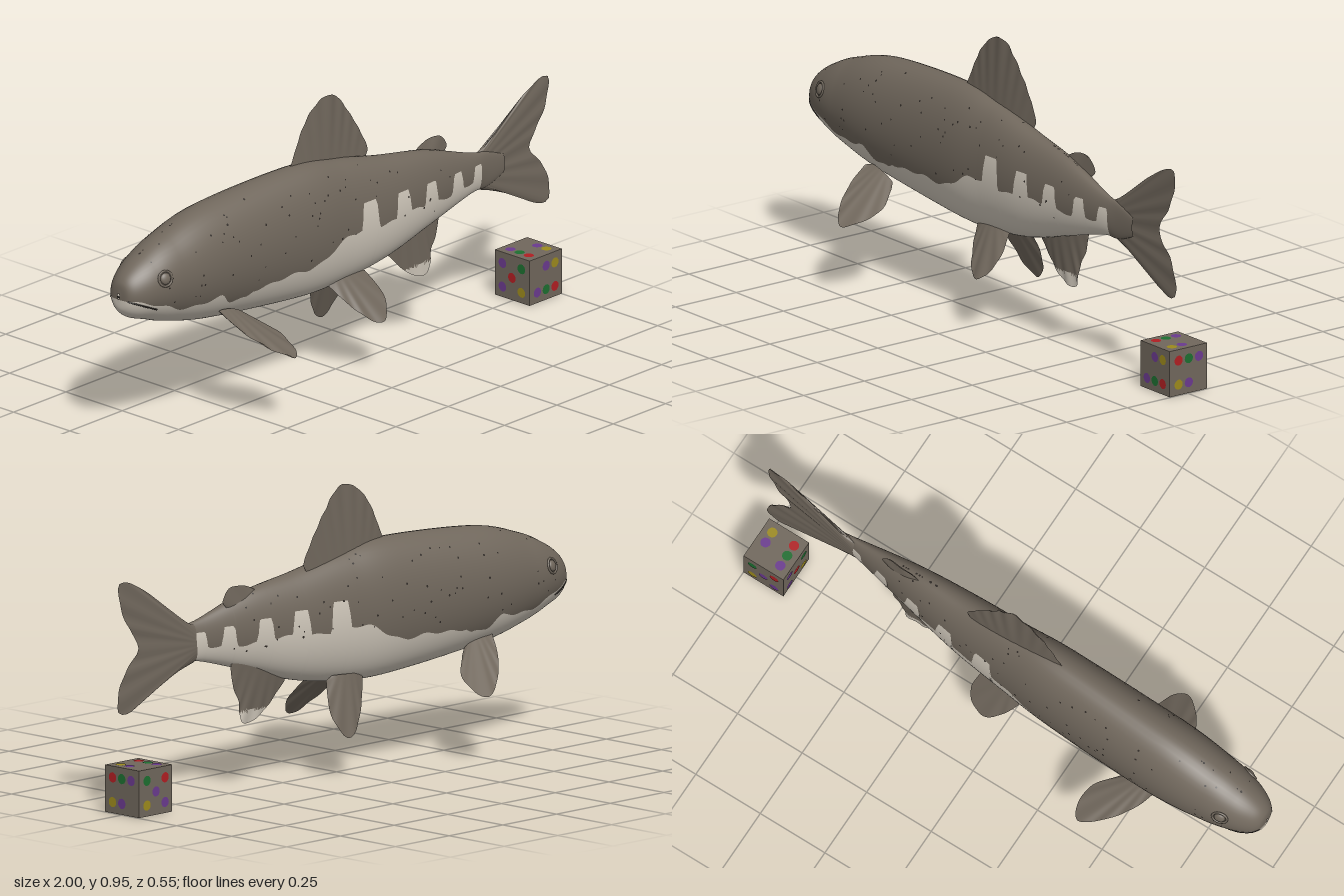
import * as THREE from 'three';
import { mergeGeometries } from 'three/addons/utils/BufferGeometryUtils.js';

const V = (x, y, z) => new THREE.Vector3(x, y, z);
const paint = (name, color) => Object.assign(new THREE.MeshStandardMaterial({ color }), { name });
const spline = pts => new THREE.CatmullRomCurve3(pts, false, 'catmullrom', 0.5);

// Body profile: x, top, bottom, and half width; the spine swings gently toward +z at the tail
const heights = spline([
  V(-1, 0.535, 0.515), V(-0.992, 0.572, 0.472), V(-0.96, 0.606, 0.442), V(-0.9, 0.643, 0.42), V(-0.8, 0.686, 0.386),
  V(-0.6, 0.735, 0.342), V(-0.2, 0.755, 0.3), V(0, 0.73, 0.303), V(0.2, 0.69, 0.332), V(0.4, 0.655, 0.39),
  V(0.6, 0.592, 0.447), V(0.68, 0.575, 0.452), V(0.76, 0.545, 0.48)
]);
const halfWidths = spline([0.004, 0.04, 0.068, 0.092, 0.11, 0.123, 0.113, 0.098, 0.085, 0.06, 0.028, 0.013, 0.004].map(w => V(w, 0, 0)));
const spineZ = x => -0.034 + 0.068 * THREE.MathUtils.smoothstep(x, -0.8, 0.95) + 0.01 * Math.max(0, x);

function bodyPoint(s, t) {
  const h = heights.getPoint(s), w = halfWidths.getPoint(s).x;
  return V(h.x, (h.y + h.z) / 2 + (h.y - h.z) / 2 * Math.sin(t), spineZ(h.x) + w * Math.cos(t));
}
function bodyNormal(s, t) {
  const ds = bodyPoint(Math.min(1, s + 1e-3), t).sub(bodyPoint(Math.max(0, s - 1e-3), t));
  const dt = bodyPoint(s, t + 1e-2).sub(bodyPoint(s, t - 1e-2));
  return ds.cross(dt).normalize();
}
function angleAt(s, y) {
  const h = heights.getPoint(s);
  return Math.asin(THREE.MathUtils.clamp((2 * y - h.y - h.z) / (h.y - h.z), -1, 1));
}
// Point and normal on the skin at a given x and y; side is +1 or -1
function skin(x, y, side) {
  let lo = 0, hi = 1;
  for (let i = 0; i < 30; i++) {
    const m = (lo + hi) / 2;
    if (heights.getPoint(m).x < x) lo = m; else hi = m;
  }
  const t = side > 0 ? angleAt(lo, y) : Math.PI - angleAt(lo, y);
  return { p: bodyPoint(lo, t), n: bodyNormal(lo, t) };
}

// Upper edge of the pale belly: a wavy line with five upright bars toward the tail
function edgeY(x) {
  if (x > 0.64) return 0.3;
  const step = THREE.MathUtils.smoothstep;
  let y = 0.52 - 0.075 * step(x, -1.05, -0.75) - 0.037 * step(x, -0.63, -0.57) + 0.02 * step(x, -0.5, -0.47)
    + 0.065 * step(x, -0.22, -0.02) + 0.009 * Math.sin(38 * x) * Math.sin(17 * x);
  for (const c of [0.07, 0.23, 0.37, 0.51, 0.62]) {
    const half = 0.037 - 0.025 * c;
    y = THREE.MathUtils.lerp(y, 0.592 - 0.07 * c, 1 - step(Math.abs(x - c), half - 0.006, half + 0.008));
  }
  return y;
}

// Triangles of a point grid; flip reverses the facing
function gridTriangles(nu, nv, flip = false, start = 0) {
  const out = [];
  for (let i = 0; i < nu; i++) for (let j = 0; j < nv; j++) {
    const a = start + i * (nv + 1) + j, b = a + nv + 1;
    out.push(...(flip ? [[a, a + 1, b], [b, a + 1, b + 1]] : [[a, b, a + 1], [b, b + 1, a + 1]]));
  }
  return out;
}
function bodyHalf(upper) {
  const nu = 380, nv = 30, pos = [], nor = [];
  for (let i = 0; i <= nu; i++) {
    const s = i / nu, tb = angleAt(s, edgeY(heights.getPoint(s).x));
    const [t0, t1] = upper ? [tb, Math.PI - tb] : [Math.PI - tb, 2 * Math.PI + tb];
    for (let j = 0; j <= nv; j++) {
      const t = t0 + (t1 - t0) * j / nv;
      pos.push(...bodyPoint(s, t).toArray());
      nor.push(...bodyNormal(s, t).toArray());
    }
  }
  const g = new THREE.BufferGeometry();
  g.setAttribute('position', new THREE.Float32BufferAttribute(pos, 3));
  g.setAttribute('normal', new THREE.Float32BufferAttribute(nor, 3));
  return g.setIndex(gridTriangles(nu, nv).flat());
}

// Fin spread from a root line to a margin curve, thick at the root, with soft rays; below tipY it is pale
function finGeometry([r0, r1], margin, thick, rays, tipY = -1) {
  const nu = 64, nv = 12, pos = [];
  const edge = new THREE.CatmullRomCurve3(margin, false, 'centripetal');
  const mid = r0.clone().add(r1).multiplyScalar(0.5);
  const normal = r1.clone().sub(r0).cross(edge.getPointAt(0.5).sub(mid)).normalize();
  for (const side of [1, -1]) for (let i = 0; i <= nu; i++) for (let j = 0; j <= nv; j++) {
    const u = i / nu, v = j / nv, fade = Math.max(0, Math.sin(Math.PI * u));
    const p = r0.clone().lerp(r1, u).lerp(edge.getPointAt(u), v);
    const off = side * (thick * (1 - v) * Math.sqrt(fade) + 0.0012 * fade)
      + 0.0022 * v * fade * Math.sin(u * rays * Math.PI * 2);
    pos.push(...p.addScaledVector(normal, off).toArray());
  }
  const tris = [...gridTriangles(nu, nv), ...gridTriangles(nu, nv, true, (nu + 1) * (nv + 1))];
  const isTip = t => (pos[t[0] * 3 + 1] + pos[t[1] * 3 + 1] + pos[t[2] * 3 + 1]) / 3 < tipY;
  const main = tris.filter(t => !isTip(t)), tip = tris.filter(isTip);
  const g = new THREE.BufferGeometry();
  g.setAttribute('position', new THREE.Float32BufferAttribute(pos, 3));
  g.setIndex([...main, ...tip].flat());
  g.addGroup(0, main.length * 3, 0);
  g.addGroup(main.length * 3, tip.length * 3, 1);
  g.computeVertexNormals();
  return g;
}

export function createModel() {
  const brown = paint('brown skin', 0x70675c), pale = paint('pale belly', 0xcfc7ba), dark = paint('dark spots', 0x2e2925);
  const dotPaints = [paint('red', 0xb01e22), paint('green', 0x1c6e30), paint('purple', 0x6a3a8e), paint('yellow', 0x9c8a1c)];
  brown.side = pale.side = THREE.DoubleSide;
  const model = new THREE.Group(), fish = new THREE.Group(), die = new THREE.Group();
  fish.name = 'fish';
  die.name = 'die';
  model.add(fish, die);
  const add = (parent, name, geometry, material) => {
    const m = new THREE.Mesh(geometry, material);
    m.name = name;
    parent.add(m);
    return m;
  };

  add(fish, 'back', bodyHalf(true), brown);
  add(fish, 'belly', bodyHalf(false), pale);

  // Fins on the centre line
  const addFin = (name, ...shape) => add(fish, name, finGeometry(...shape), [brown, pale]);
  addFin('dorsalFin', [V(-0.19, 0.735, -0.018), V(0.16, 0.68, -0.018)], [V(-0.2, 0.745, -0.019), V(-0.12, 0.89, -0.021),
    V(-0.06, 0.942, -0.019), V(-0.015, 0.953, -0.016), V(0.02, 0.94, -0.018), V(0.075, 0.877, -0.02),
    V(0.14, 0.78, -0.02), V(0.172, 0.71, -0.018), V(0.16, 0.69, -0.018)], 0.01, 9);
  addFin('adiposeFin', [V(0.37, 0.645, 0.006), V(0.5, 0.61, 0.01)], [V(0.37, 0.655, 0.006), V(0.41, 0.673, 0.006),
    V(0.45, 0.68, 0.007), V(0.49, 0.675, 0.008), V(0.52, 0.635, 0.01), V(0.505, 0.615, 0.01)], 0.008, 2);
  addFin('analFin', [V(0.235, 0.36, 0.006), V(0.48, 0.44, 0.006)], [V(0.235, 0.335, 0.006), V(0.33, 0.245, 0.013),
    V(0.39, 0.217, 0.015), V(0.425, 0.222, 0.015), V(0.434, 0.25, 0.014), V(0.445, 0.3, 0.012),
    V(0.47, 0.345, 0.01), V(0.485, 0.41, 0.008)], 0.014, 6, 0.258);

  // Forked tail
  const tailMargin = [[0.64, 0.574], [0.7, 0.603], [0.84, 0.706], [0.94, 0.757], [0.973, 0.755], [0.975, 0.71], [0.95, 0.635],
    [0.888, 0.53], [0.945, 0.46], [0.977, 0.39], [0.977, 0.33], [0.945, 0.32], [0.79, 0.395], [0.7, 0.432], [0.64, 0.45]];
  addFin('tailFin', [V(0.63, 0.572, 0.026), V(0.63, 0.455, 0.026)],
    tailMargin.map(([x, y]) => V(x, y, 0.036 - 0.03 * (0.975 - x))), 0.012, 13);

  // Paired fins: the right one mirrors the left, with its tip swung by dx and dy
  function addPair(name, root, margin, thick, rays, { centre, spread, dx, dy }) {
    const mirror = p => {
      const k = Math.max(0, p.z - root[0].z);
      return V(p.x + dx * k, p.y + dy * k, centre - spread * p.z);
    };
    addFin('left' + name, root, margin, thick, rays);
    addFin('right' + name, root.map(mirror), margin.map(mirror), thick, rays);
  }
  addPair('PectoralFin', [V(-0.61, 0.385, 0.05), V(-0.5, 0.35, 0.05)], [V(-0.62, 0.385, 0.07), V(-0.605, 0.34, 0.14),
    V(-0.556, 0.285, 0.225), V(-0.487, 0.248, 0.275), V(-0.455, 0.255, 0.245), V(-0.433, 0.29, 0.15), V(-0.48, 0.335, 0.07)],
    0.012, 6, { centre: -0.05, spread: 0.83, dx: 0.28, dy: -0.1 });
  addPair('PelvicFin', [V(-0.06, 0.325, 0.03), V(0.07, 0.335, 0.03)], [V(-0.07, 0.315, 0.035), V(-0.03, 0.255, 0.085),
    V(0.03, 0.195, 0.135), V(0.07, 0.182, 0.148), V(0.11, 0.215, 0.125), V(0.122, 0.26, 0.09), V(0.1, 0.325, 0.035)],
    0.01, 5, { centre: -0.03, spread: 0.57, dx: -0.1, dy: -0.39 });

  // Eyes and mouth on both sides
  for (const side of [1, -1]) {
    const label = side > 0 ? 'left' : 'right', { p, n } = skin(-0.875, 0.575, side);
    const eye = add(fish, label + 'Eye', new THREE.SphereGeometry(0.019, 20, 14), brown);
    eye.scale.z = 0.45;
    const rim = add(fish, label + 'EyeRim', new THREE.TorusGeometry(0.025, 0.004, 8, 28), brown);
    for (const m of [eye, rim]) {
      m.position.copy(p);
      m.quaternion.setFromUnitVectors(V(0, 0, 1), n);
    }
    const lip = [-0.994, -0.975, -0.94, -0.9].map(x => skin(x, 0.07 - 0.445 * x, side).p);
    add(fish, label + 'MouthLine', new THREE.TubeGeometry(spline(lip), 20, 0.003, 6), dark);
  }

  // Scattered speckles on the back
  let seed = 7;
  const rnd = () => (seed = (seed * 16807) % 2147483647) / 2147483647;
  const specks = [];
  for (let i = 0; i < 150; i++) {
    const x = -0.9 + 1.4 * rnd(), { p, n } = skin(x, 0.46 + 0.27 * rnd(), i % 2 ? 1 : -1);
    const g = new THREE.CircleGeometry(0.0025 + 0.002 * rnd(), 6);
    g.applyQuaternion(new THREE.Quaternion().setFromUnitVectors(V(0, 0, 1), n));
    specks.push(g.translate(...p.addScaledVector(n, 0.0015).toArray()));
  }
  add(fish, 'speckles', mergeGeometries(specks), dark);

  // Die: each face has five dots, three in one row and two in the other
  die.position.set(0.9225, 0.078, -0.002);
  add(die, 'dieCube', new THREE.BoxGeometry(0.154, 0.156, 0.154), brown);
  function addFace(rx, ry, columns, rows, colours) {
    const face = new THREE.Group();
    face.name = 'dieFace';
    face.rotation.set(rx, ry, 0);
    colours.forEach((c, i) => add(face, 'dieDot', new THREE.CircleGeometry(0.017, 16), dotPaints[c])
      .position.set(columns[i] * 0.042, rows[i] * 0.041, 0.079));
    die.add(face);
  }
  const q = Math.PI / 2, five = [-1, 1, 0, -1, 1], fiveRows = [1, 1, 0, -1, -1];
  addFace(0, 0, [0, 1, -1, 0, 1], [1, 1, -1, -1, -1], [2, 3, 2, 1, 0]);
  addFace(0, q, [-1, 0, 1, -1, 0], [1, 1, 1, -1, -1], [0, 1, 2, 3, 2]);
  addFace(0, 2 * q, five, fiveRows, [1, 0, 2, 3, 2]);
  addFace(0, -q, five, fiveRows, [2, 1, 0, 2, 3]);
  addFace(-q, 0, [-1, -1, 1, -1, 1], [1, 0, 0, -1, -1], [2, 1, 2, 0, 3]);
  addFace(q, 0, five, fiveRows, [0, 2, 1, 3, 2]);
  return model;
}
